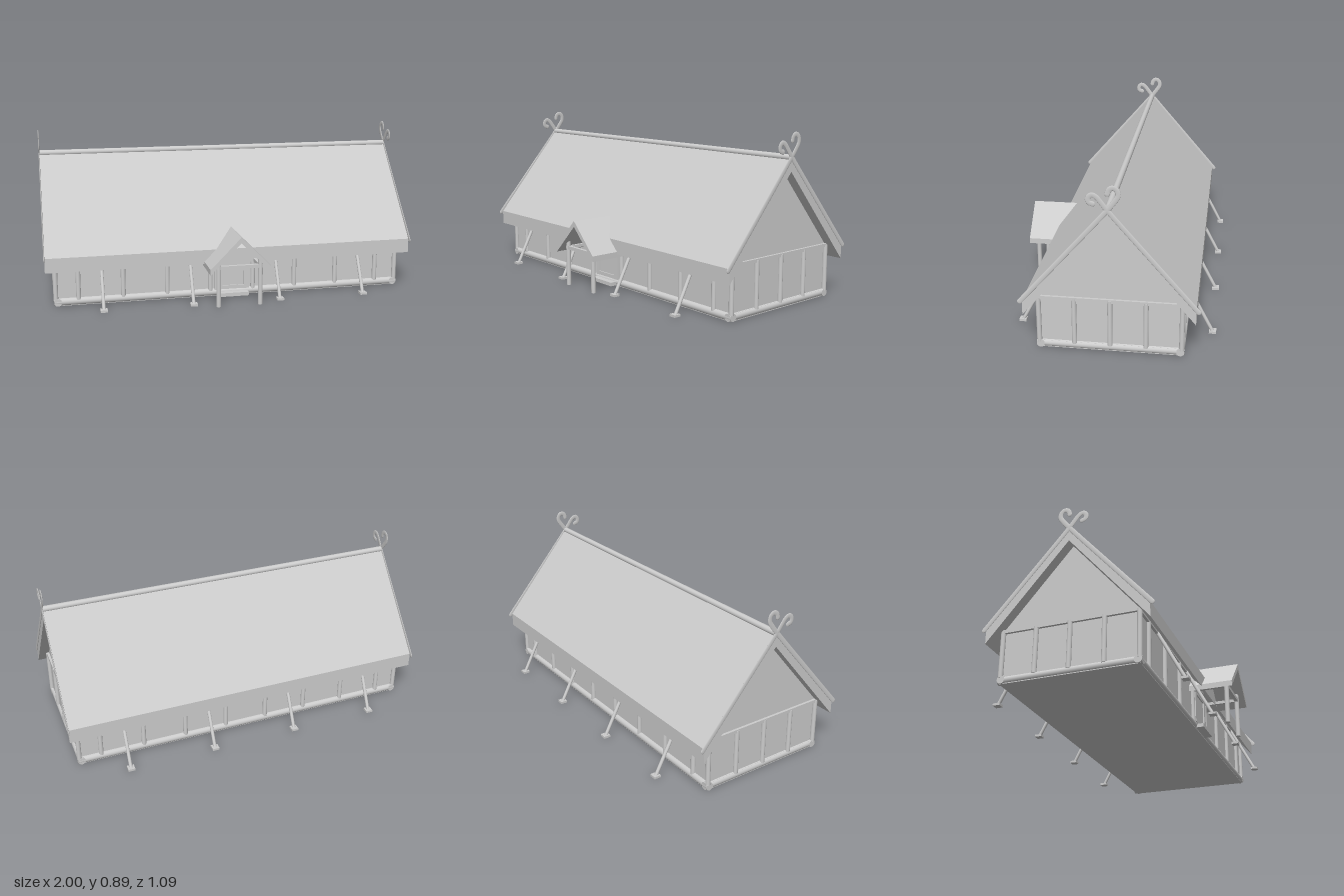
import * as THREE from 'three';

const ZC = -0.0335; // ridge line of the hall, in z

export function createModel() {
  const grey = new THREE.MeshStandardMaterial({ color: 0xcccccc });
  grey.name = 'plain grey';
  const model = new THREE.Group();
  model.name = 'longhouse';
  const hall = new THREE.Group();
  hall.name = 'hall';
  hall.position.z = ZC;
  model.add(hall);

  const add = (parent, name, geometry, x = 0, y = 0, z = 0) => {
    const mesh = new THREE.Mesh(geometry, grey);
    mesh.name = name;
    mesh.position.set(x, y, z);
    parent.add(mesh);
    return mesh;
  };
  const box = (parent, name, w, h, d, x, y, z) =>
    add(parent, name, new THREE.BoxGeometry(w, h, d), x, y, z);
  // round timber between two points
  const pole = (parent, name, a, b, r) => {
    const p = new THREE.Vector3(...a), q = new THREE.Vector3(...b);
    const dir = q.clone().sub(p);
    const mesh = add(parent, name, new THREE.CylinderGeometry(r, r, dir.length(), 16));
    mesh.position.copy(p).add(q).multiplyScalar(0.5);
    mesh.quaternion.setFromUnitVectors(new THREE.Vector3(0, 1, 0), dir.normalize());
    return mesh;
  };
  const prism = (points, depth) => new THREE.ExtrudeGeometry(
    new THREE.Shape(points.map(([x, y]) => new THREE.Vector2(x, y))),
    { depth, bevelEnabled: false });
  // bent roof slab: half width, ridge heights and eave heights (outer, inner)
  const chevron = (w, top, eaveTop, under, eaveUnder, depth) => prism(
    [[-w, eaveUnder], [0, under], [w, eaveUnder], [w, eaveTop], [0, top], [-w, eaveTop]], depth);

  // floor and sill logs
  const hx = 0.943, hz = 0.349;
  box(hall, 'floor', 1.89, 0.036, 0.706, 0, 0.018, 0);
  for (const s of [-1, 1]) {
    pole(hall, 'longSill', [-0.953, 0.02, s * 0.343], [0.953, 0.02, s * 0.343], 0.02);
    pole(hall, 'endSill', [s * 0.933, 0.02, -0.362], [s * 0.933, 0.02, 0.362], 0.02);
  }

  // walls with the gables in one pentagonal block
  const walls = prism([[-hz + 0.004, 0.03], [hz - 0.004, 0.03], [hz - 0.004, 0.285],
    [0, 0.7], [-hz + 0.004, 0.285]], 2 * hx - 0.008);
  walls.rotateY(Math.PI / 2);
  add(hall, 'walls', walls, -hx + 0.004);

  // wall posts and wall plates
  for (const s of [-1, 1]) {
    for (const i of [-8, -7, -5, -3, -1, 1, 3, 5, 7, 8])
      pole(hall, 'wallPost', [i * 0.118, 0.03, s * hz], [i * 0.118, 0.275, s * hz], 0.0125);
    for (const z of [-0.175, 0, 0.175])
      pole(hall, 'gablePost', [s * hx, 0.03, z], [s * hx, 0.275, z], 0.0125);
    box(hall, 'gablePlate', 0.018, 0.018, 0.71, s * hx, 0.273, 0);
    box(hall, 'wallPlate', 1.89, 0.018, 0.018, 0, 0.268, s * hz);
  }

  // main roof and ridge log
  const roof = chevron(0.4165, 0.767, 0.277, 0.692, 0.2, 1.99);
  roof.rotateY(Math.PI / 2);
  add(hall, 'roof', roof, -0.995);
  pole(hall, 'ridgeLog', [-0.995, 0.76, 0], [0.995, 0.76, 0], 0.016);

  // crossed bargeboards ending in curls, as [z, y] paths
  const boards = [
    [[0.427, 0.271], [0.213, 0.517], [0, 0.764], [-0.03, 0.802], [-0.049, 0.833], [-0.046, 0.86],
      [-0.027, 0.873], [-0.007, 0.863], [-0.001, 0.843]],
    [[-0.427, 0.271], [-0.213, 0.517], [0, 0.764], [0.029, 0.802], [0.049, 0.826], [0.07, 0.836],
      [0.087, 0.822], [0.085, 0.8], [0.066, 0.792]],
  ];
  for (const s of [-1, 1]) for (const path of boards) {
    const curve = new THREE.CatmullRomCurve3(path.map(([z, y]) => new THREE.Vector3(0, y, z)));
    const board = new THREE.Group();
    board.name = 'bargeboard';
    board.position.x = s * 0.997;
    board.scale.x = 0.24;
    hall.add(board);
    add(board, 'curledBoard', new THREE.TubeGeometry(curve, 100, 0.0125, 12));
    for (const [z, y] of [path[0], path[path.length - 1]])
      add(board, 'boardEnd', new THREE.SphereGeometry(0.0125, 12, 8), 0, y, z);
  }

  // slanting outer struts on flat feet
  for (const s of [-1, 1]) for (const x of [-0.705, -0.235, 0.235, 0.705]) {
    pole(hall, 'strut', [x, 0.008, s * 0.488], [x, 0.28, s * 0.345], 0.009);
    box(hall, 'strutFoot', 0.037, 0.012, 0.037, x, 0.006, s * 0.49);
  }

  // door, frame and step
  const door = new THREE.Group();
  door.name = 'doorway';
  model.add(door);
  box(door, 'doorLeaf', 0.134, 0.155, 0.008, 0, 0.125, 0.316);
  for (const s of [-1, 1]) box(door, 'doorJamb', 0.028, 0.18, 0.022, s * 0.081, 0.125, 0.316);
  box(door, 'doorLintel', 0.19, 0.018, 0.022, 0, 0.209, 0.316);
  box(door, 'doorSill', 0.19, 0.02, 0.022, 0, 0.046, 0.316);
  box(door, 'step', 0.17, 0.02, 0.04, 0, 0.014, 0.344);

  // porch
  const porch = new THREE.Group();
  porch.name = 'porch';
  model.add(porch);
  add(porch, 'porchRoof', chevron(0.163, 0.378, 0.213, 0.346, 0.183, 0.25), 0, 0, 0.295);
  for (const s of [-1, 1]) {
    pole(porch, 'porchPost', [s * 0.112, 0, 0.503], [s * 0.112, 0.245, 0.503], 0.0125);
    box(porch, 'porchPlate', 0.016, 0.016, 0.19, s * 0.112, 0.21, 0.415);
  }
  box(porch, 'porchTieBeam', 0.245, 0.018, 0.018, 0, 0.21, 0.503);
  return model;
}
